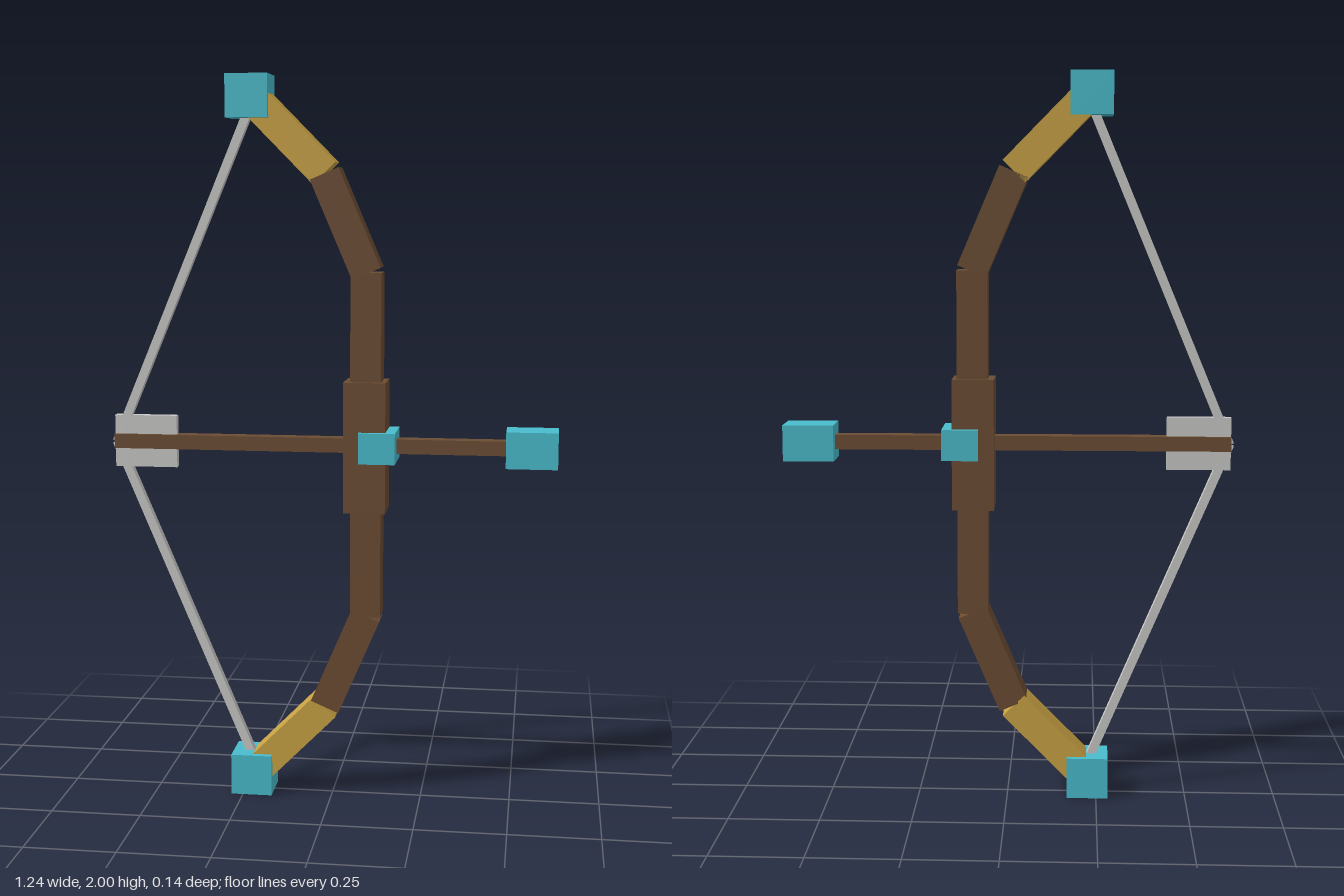
import * as THREE from 'three';

const mat = (name, color) => {
  const m = new THREE.MeshStandardMaterial({ color });
  m.name = name;
  return m;
};

export function createModel() {
  const wood = mat('brown wood', 0x6b4c33);
  const gold = mat('gold', 0xc9a244);
  const teal = mat('teal', 0x49bccc);
  const grey = mat('light grey', 0xc8c8c6);

  const model = new THREE.Group();
  model.name = 'bowAndArrow';

  const box = (name, material, size, pos, parent = model) => {
    const mesh = new THREE.Mesh(new THREE.BoxGeometry(...size), material);
    mesh.name = name;
    mesh.position.set(...pos);
    parent.add(mesh);
    return mesh;
  };

  // Square bar between two points in the xy plane
  const bar = (name, material, [x1, y1], [x2, y2], width, depth, parent) => {
    const mesh = box(name, material, [width, Math.hypot(x2 - x1, y2 - y1), depth],
      [(x1 + x2) / 2, (y1 + y2) / 2, 0], parent);
    mesh.rotation.z = -Math.atan2(x2 - x1, y2 - y1);
  };

  // Grip
  box('grip', wood, [0.115, 0.36, 0.115], [0.093, 1, 0]);

  // Upper and lower halves, mirrored about y = 1
  for (const s of [1, -1]) {
    const half = new THREE.Group();
    half.name = s > 0 ? 'upperHalf' : 'lowerHalf';
    model.add(half);
    const p = (x, dy) => [x, 1 + s * dy];
    bar('innerLimb', wood, p(0.095, 0.1), p(0.095, 0.475), 0.084, 0.084, half);
    bar('middleLimb', wood, p(0.096, 0.472), p(-0.018, 0.738), 0.084, 0.084, half);
    bar('outerLimb', gold, p(-0.018, 0.738), p(-0.205, 0.927), 0.084, 0.084, half);
    box('limbTip', teal, [0.115, 0.115, 0.115], [-0.225, 1 + s * 0.9425, 0], half);
    bar('bowstring', grey, p(-0.608, 0), p(-0.226, 0.91), 0.024, 0.024, half);
  }

  // Arrow
  const arrow = new THREE.Group();
  arrow.name = 'arrow';
  model.add(arrow);
  box('shaft', wood, [1.11, 0.04, 0.04], [-0.057, 1.002, 0], arrow);
  box('fletching', grey, [0.175, 0.145, 0.022], [-0.524, 1.002, 0], arrow);
  box('arrowhead', teal, [0.14, 0.1, 0.1], [0.546, 1.002, 0], arrow);

  // Arrow rest wrapped around the grip
  box('arrowRest', teal, [0.1, 0.085, 0.145], [0.128, 1.002, 0]);

  return model;
}
